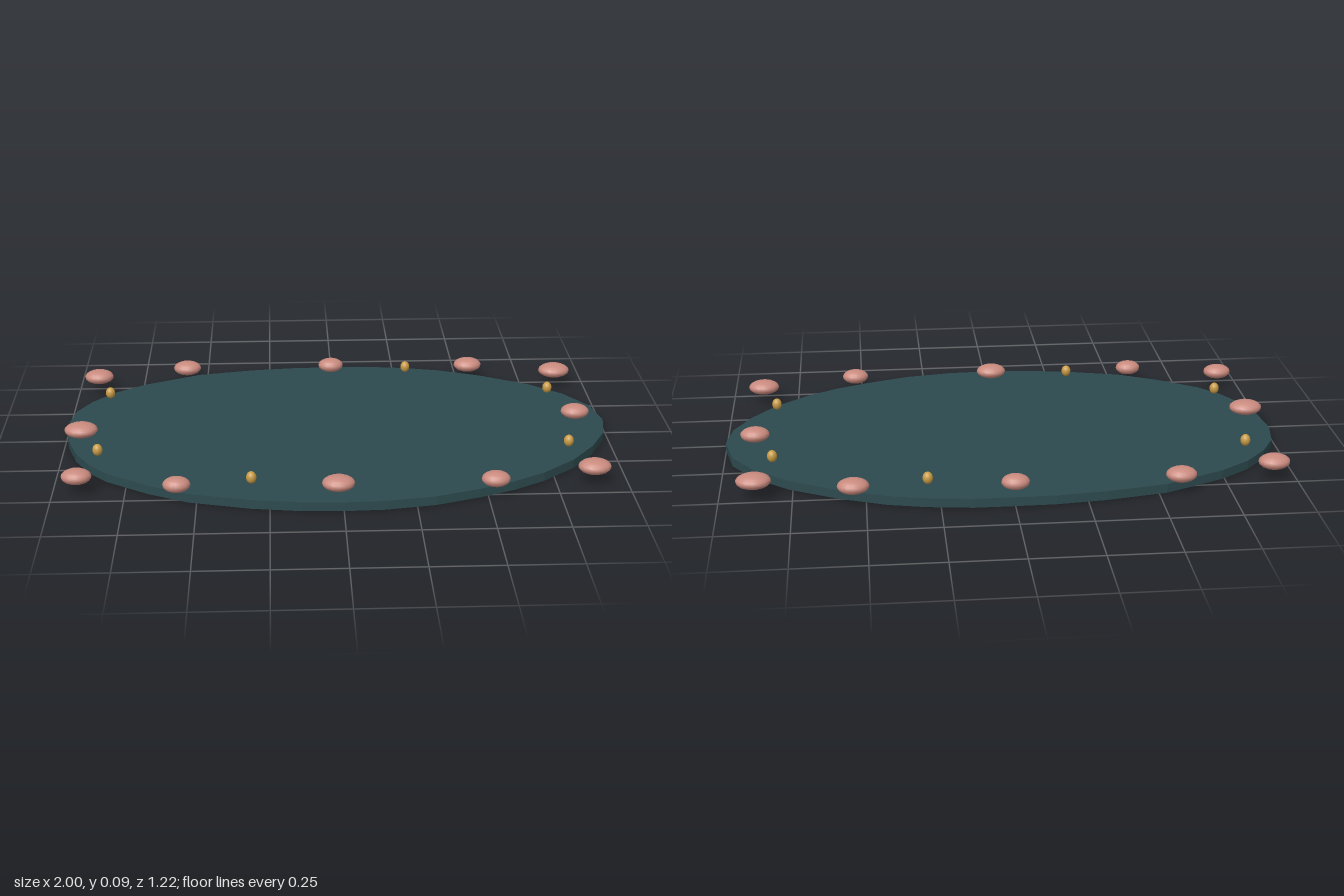
import * as THREE from 'three';

const mat = (name, color) => Object.assign(new THREE.MeshStandardMaterial({ color }), { name });

export function createModel() {
  const group = new THREE.Group();
  const slate = mat('dark teal', 0x2d4a4e);
  const rose = mat('dusty rose', 0xc98a7e);
  const gold = mat('gold', 0xc89b45);

  // Flat, slightly irregular oval base: outline as x, z
  const outline = [
    [0, 0.605], [0.14, 0.6], [0.315, 0.572], [0.47, 0.52], [0.6, 0.465], [0.71, 0.4], [0.83, 0.3],
    [0.92, 0.185], [0.98, 0.07], [1, -0.05], [0.97, -0.185], [0.89, -0.3], [0.765, -0.405],
    [0.59, -0.498], [0.43, -0.56], [0.3, -0.59], [0.14, -0.61], [0, -0.61], [-0.14, -0.608],
    [-0.315, -0.59], [-0.53, -0.55], [-0.74, -0.455], [-0.85, -0.38], [-0.93, -0.29],
    [-0.98, -0.2], [-1, -0.08], [-0.985, 0.06], [-0.945, 0.18], [-0.89, 0.275], [-0.82, 0.35],
    [-0.67, 0.45], [-0.53, 0.52], [-0.315, 0.575], [-0.14, 0.6],
  ].map(([x, z]) => new THREE.Vector2(x, z));
  const plate = new THREE.ExtrudeGeometry(new THREE.Shape(outline), { depth: 0.033, bevelEnabled: false });
  plate.rotateX(Math.PI / 2).translate(0, 0.033, 0);
  const base = new THREE.Mesh(plate, slate);
  base.name = 'ovalBase';
  group.add(base);

  // Flattened pebbles around the rim: x, z, half width
  const ball = new THREE.SphereGeometry(1, 16, 10);
  const addBall = (name, material, x, y, z, rx, ry, rz) => {
    const m = new THREE.Mesh(ball, material);
    m.name = name;
    m.position.set(x, y, z);
    m.scale.set(rx, ry, rz);
    group.add(m);
  };
  [
    [-0.92, -0.467, 0.056], [-0.577, -0.545, 0.054], [-0.005, -0.555, 0.049], [0.543, -0.54, 0.055],
    [0.88, -0.467, 0.061], [0.893, -0.056, 0.053], [-0.938, 0.045, 0.061], [-0.914, 0.436, 0.053],
    [-0.567, 0.513, 0.048], [-0.016, 0.522, 0.057], [0.524, 0.51, 0.05], [0.88, 0.425, 0.058],
  ].forEach(([x, z, r], i) => addBall(`pebble${i + 1}`, rose, x, 0.066, z, r, 0.027, r * 0.8));

  // Small upright beads inside the rim: x, z
  [
    [-0.86, -0.285], [0.29, -0.51], [0.823, -0.275],
    [0.823, 0.222], [-0.86, 0.235], [-0.313, 0.48],
  ].forEach(([x, z], i) => addBall(`bead${i + 1}`, gold, x, 0.072, z, 0.018, 0.022, 0.018));

  return group;
}
